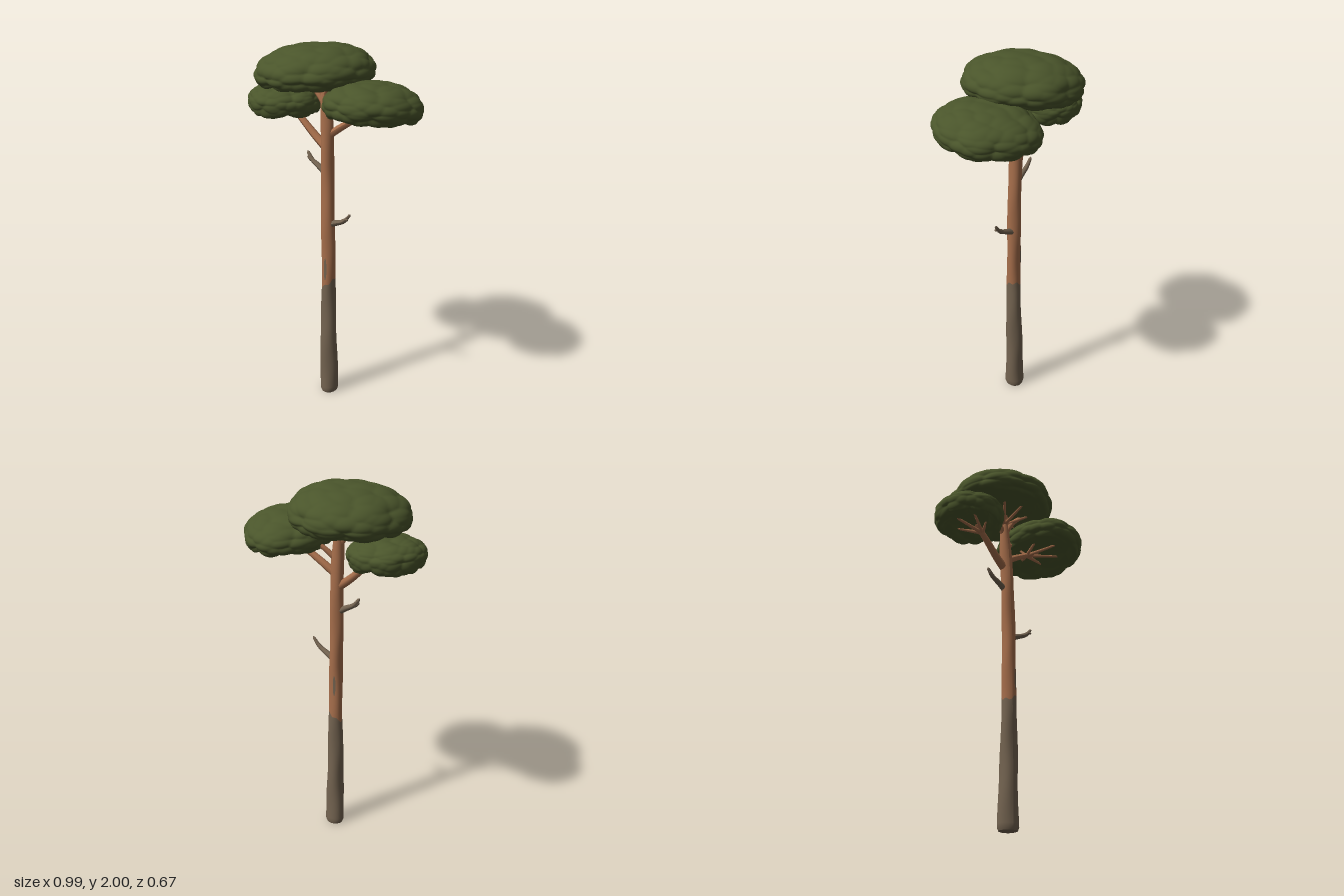
import * as THREE from 'three';
import { mergeVertices } from 'three/addons/utils/BufferGeometryUtils.js';

const mat = (name, color) => Object.assign(new THREE.MeshStandardMaterial({ color }), { name });

function part(name, geometry, material) {
  geometry.computeVertexNormals();
  const m = new THREE.Mesh(geometry, material);
  m.name = name;
  return m;
}

// Piecewise linear lookup in rows of [key, value, ...]
function lookup(rows, key, col) {
  let i = 1;
  while (i < rows.length - 1 && rows[i][0] < key) i++;
  const [a, b] = [rows[i - 1], rows[i]];
  return THREE.MathUtils.mapLinear(key, a[0], b[0], a[col], b[col]);
}

// Trunk: height, centre x, centre z, radius
const TRUNK = [
  [0, -0.012, 0, 0.047], [0.015, -0.012, 0, 0.053], [0.3, -0.011, 0.003, 0.047],
  [0.7, -0.01, 0.005, 0.038], [1.0, -0.011, 0.006, 0.037], [1.2, -0.016, 0.005, 0.036],
  [1.4, -0.021, 0.003, 0.035], [1.58, -0.028, 0, 0.034], [1.7, -0.036, 0, 0.028], [1.86, -0.04, 0, 0.017],
];

// Point on the bark at angle a and height y, at a share of the radius
function barkPoint(a, y, share) {
  const ripple = 1 + 0.035 * Math.sin(3 * a + y * 9) + 0.025 * Math.sin(2 * a - y * 17);
  const r = lookup(TRUNK, y, 3) * share * ripple;
  return [lookup(TRUNK, y, 1) + r * Math.sin(a), y, lookup(TRUNK, y, 2) + r * Math.cos(a)];
}

// Uneven line where the old bark ends
const barkLine = a => 0.7 + 0.02 * Math.sin(a) - 0.02 * Math.cos(a) + 0.007 * Math.sin(5 * a);

function trunkPart(name, material, upper) {
  const g = new THREE.CylinderGeometry(1, 1, 1, 28, 40);
  const p = g.attributes.position;
  for (let i = 0; i < p.count; i++) {
    const a = Math.atan2(p.getX(i), p.getZ(i));
    const share = Math.min(1, Math.hypot(p.getX(i), p.getZ(i)));
    const t = p.getY(i) + 0.5;
    const y = upper ? THREE.MathUtils.lerp(barkLine(a), 1.86, t) : barkLine(a) * t;
    p.setXYZ(i, ...barkPoint(a, y, share));
  }
  return part(name, g, material);
}

// Thin flake of old bark lying on the trunk
function barkFlake(name, material, angle, y, halfAngle, halfHeight) {
  const g = new THREE.CircleGeometry(1, 14);
  const p = g.attributes.position;
  for (let i = 0; i < p.count; i++) {
    p.setXYZ(i, ...barkPoint(angle + p.getX(i) * halfAngle, y + p.getY(i) * halfHeight, 1.06));
  }
  return part(name, g, material);
}

// Tapered tube through points, from radius r0 to r1, closed at the tip
function limb(name, material, pts, r0, r1) {
  const curve = new THREE.CatmullRomCurve3(pts.map(q => new THREE.Vector3(...q)));
  const n = 14, sides = 8;
  const g = new THREE.TubeGeometry(curve, n, 1, sides);
  const p = g.attributes.position, v = new THREE.Vector3();
  for (let i = 0; i < p.count; i++) {
    const t = Math.floor(i / (sides + 1)) / n;
    const c = curve.getPointAt(t);
    const r = t === 1 ? 0 : THREE.MathUtils.lerp(r0, r1, t);
    v.fromBufferAttribute(p, i).sub(c).multiplyScalar(r).add(c);
    p.setXYZ(i, v.x, v.y, v.z);
  }
  return part(name, g, material);
}

// Centres of the needle clumps, spread unevenly over a unit sphere
function clumpCentres(count, seed) {
  return Array.from({ length: count }, (_, i) => {
    const y = 1 - 2 * (i + 0.5) / count;
    const a = i * 2.39996 + 0.3 * Math.sin(i * 12.9 + seed);
    const r = Math.sqrt(1 - y * y);
    return new THREE.Vector3(r * Math.cos(a), y + 0.06 * Math.sin(i * 7.7 + seed), r * Math.sin(a)).normalize();
  });
}

// Domed cushion with a thick rounded rim and a hollow underside
function canopy(name, material, o) {
  let g = new THREE.IcosahedronGeometry(1, 26);
  g.deleteAttribute('normal');
  g.deleteAttribute('uv');
  g = mergeVertices(g, 1e-4);
  const p = g.attributes.position, v = new THREE.Vector3();
  const centres = clumpCentres(130, o.seed);
  for (let i = 0; i < p.count; i++) {
    v.fromBufferAttribute(p, i);
    const a = Math.atan2(v.z, v.x), flat = Math.min(1, Math.hypot(v.x, v.z));
    const near = Math.min(...centres.map(c => c.distanceToSquared(v)));
    const bump = 0.5 - near / 0.035;
    const rim = 1 + o.skew * Math.sin(2 * a) + 0.015 * Math.sin(3 * a + o.seed)
      + 0.01 * Math.sin(5 * a + o.seed * 2) + 0.022 * bump * flat;
    const r = Math.pow(flat, 0.87) * rim;
    const px = r * o.rx * Math.cos(a), pz = r * o.rz * Math.sin(a);
    let py = v.y * (o.top + bump * 0.006);
    if (v.y < 0) {
      py = -Math.sqrt(1 - flat ** 3) * (o.bottom + bump * 0.014)
        + o.hollow * Math.max(0, 1 - flat * flat / 0.72);
    }
    p.setXYZ(i, o.x + px, o.y + py + px * o.tiltX + pz * o.tiltZ, o.z + pz);
  }
  return part(name, g, material);
}

export function createModel() {
  const tree = new THREE.Group();
  tree.name = 'pineTree';
  const oldBark = mat('greyBark', 0x736350);
  const bark = mat('orangeBark', 0xa66e4b);
  const needles = mat('needles', 0x4a552b);

  tree.add(
    trunkPart('lowerTrunk', oldBark, false),
    trunkPart('upperTrunk', bark, true),
    barkFlake('frontFlake', oldBark, 0.45, 0.79, 0.2, 0.065),
    barkFlake('backFlake', oldBark, 3.72, 0.9, 0.2, 0.06),
  );

  // Three cushions of foliage
  tree.add(
    canopy('topCanopy', needles, { x: -0.088, y: 1.848, z: 0.022, rx: 0.306, rz: 0.312,
      top: 0.147, bottom: 0.095, hollow: 0.065, tiltX: 0.06, tiltZ: 0, skew: 0, seed: 1 }),
    canopy('leftCanopy', needles, { x: 0.246, y: 1.72, z: -0.077, rx: 0.242, rz: 0.266,
      top: 0.12, bottom: 0.098, hollow: 0.08, tiltX: 0, tiltZ: 0.08, skew: 0.04, seed: 2.3 }),
    canopy('rightCanopy', needles, { x: -0.302, y: 1.684, z: 0.073, rx: 0.192, rz: 0.202,
      top: 0.088, bottom: 0.105, hollow: 0.075, tiltX: -0.02, tiltZ: 0, skew: 0, seed: 4.1 }),
  );

  // Main branches
  const branches = new THREE.Group();
  branches.name = 'branches';
  const add = (name, pts, r0, r1) => branches.add(limb(name, bark, pts, r0, r1));
  add('rightBranch', [[-0.03, 1.46, 0], [-0.1, 1.515, 0.02], [-0.18, 1.59, 0.045], [-0.27, 1.67, 0.07]], 0.024, 0.014);
  add('leftBranch', [[-0.03, 1.52, 0], [0.04, 1.575, -0.03], [0.13, 1.635, -0.06], [0.25, 1.71, -0.08]], 0.022, 0.013);
  add('leftUpperBranch', [[-0.03, 1.6, 0], [0.03, 1.67, -0.05], [0.1, 1.72, -0.11]], 0.016, 0.009);
  add('topRightBranch', [[-0.035, 1.68, 0], [-0.09, 1.75, 0.02], [-0.19, 1.82, 0.05]], 0.018, 0.01);
  add('topLeftBranch', [[-0.035, 1.7, 0], [0.0, 1.77, 0.02], [0.07, 1.84, 0.03]], 0.018, 0.01);

  // Twigs fanning out under each cushion
  const fan = (name, from, c, rx, rz, count, turn) => {
    for (let i = 0; i < count; i++) {
      const a = turn + i * 2 * Math.PI / count;
      const end = [c[0] + rx * Math.cos(a), c[1], c[2] + rz * Math.sin(a)];
      const mid = from.map((f, k) => f * 0.45 + end[k] * 0.55);
      add(name, [from, mid, end], 0.011, 0.006);
    }
  };
  fan('topTwig', [-0.045, 1.755, 0.005], [-0.09, 1.82, 0.02], 0.18, 0.18, 8, 0.3);
  fan('leftTwig', [0.15, 1.645, -0.065], [0.245, 1.7, -0.075], 0.13, 0.14, 6, 0.2);
  fan('rightTwig', [-0.21, 1.618, 0.055], [-0.3, 1.65, 0.075], 0.09, 0.1, 5, 0.6);
  tree.add(branches);

  // Dead stubs with a forked tip
  const stubs = new THREE.Group();
  stubs.name = 'deadStubs';
  stubs.add(
    limb('leftStub', oldBark, [[0, 1.045, 0], [0.05, 1.065, -0.005], [0.105, 1.09, -0.01], [0.148, 1.14, -0.02]], 0.019, 0.007),
    limb('leftStubFork', oldBark, [[0.085, 1.08, -0.008], [0.115, 1.1, -0.012], [0.14, 1.108, -0.005]], 0.012, 0.006),
    limb('rightStub', oldBark, [[-0.03, 1.325, 0.005], [-0.075, 1.352, 0.015], [-0.125, 1.38, 0.025], [-0.162, 1.425, 0.03]], 0.019, 0.008),
    limb('rightStubFork', oldBark, [[-0.11, 1.37, 0.02], [-0.14, 1.385, 0.03], [-0.152, 1.4, 0.035]], 0.012, 0.007),
  );
  tree.add(stubs);
  return tree;
}
